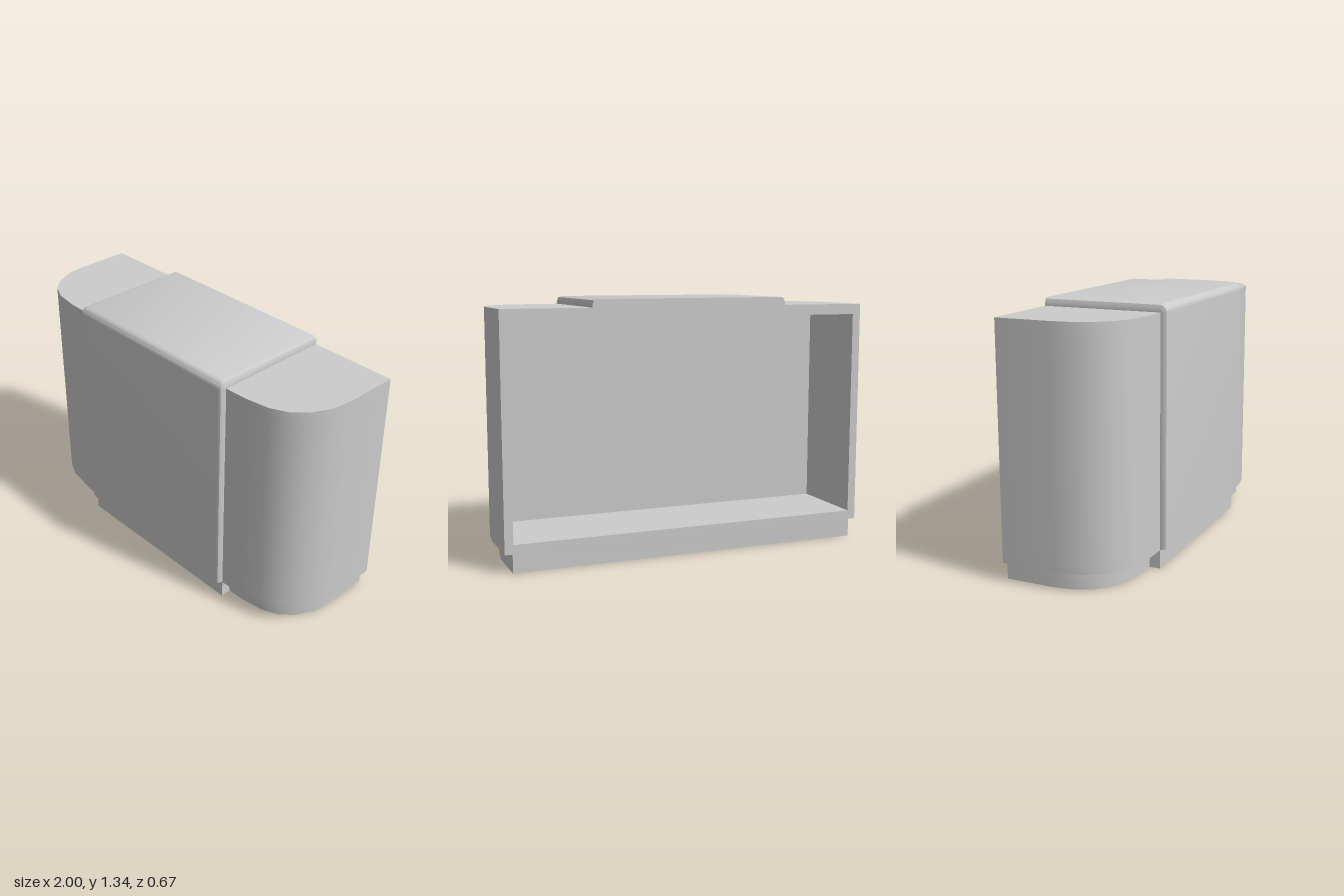
import * as THREE from 'three';
import { toCreasedNormals, mergeGeometries } from 'three/addons/utils/BufferGeometryUtils.js';

const BACK = -0.333;
const material = new THREE.MeshStandardMaterial({ color: 0xcccccc });

// Right half of the rounded front corner, as [x, z] from side to front
const CORNER = [[1, -0.05], [0.987, 0.064], [0.94, 0.162], [0.874, 0.232],
  [0.783, 0.275], [0.655, 0.294], [0.533, 0.298]];

// Mirror a half outline across x and close it as a shape (shape y is -z)
function mirroredShape(half) {
  const left = half.map(([x, z]) => [-x, z]).reverse();
  return new THREE.Shape([...half, ...left].map(([x, z]) => new THREE.Vector2(x, -z)));
}

// Extrude a floor outline upward between two heights
function slab(half, y0, y1) {
  const g = new THREE.ExtrudeGeometry(mirroredShape(half), { depth: y1 - y0, bevelEnabled: false });
  return g.rotateX(-Math.PI / 2).translate(0, y0, 0);
}

function addMesh(group, name, geometry) {
  const mesh = new THREE.Mesh(toCreasedNormals(geometry, 0.6), material);
  mesh.name = name;
  group.add(mesh);
}

// Raised panel running up the front and over the top, with rounded edges
function wrapPanel() {
  // Each row: base z, base y, then outward z and y thickness
  const rows = [[0.295, 0.1, 0, 0], [0.295, 0.1, 0.038, 0.005]];
  for (let i = 0; i <= 6; i++) {
    const a = (i / 6) * Math.PI / 2;
    rows.push([0.295, 1.3, 0.038 * Math.cos(a), 0.042 * Math.sin(a)]);
  }
  rows.push([BACK, 1.3, 0, 0.042], [BACK, 1.3, 0, 0]);
  // Cross-section: x and share of the thickness
  const half = [[0.533, 0], [0.533, 0.45], [0.526, 0.85], [0.51, 1]];
  const section = [...half.map(([x, h]) => [-x, h]), ...half.slice().reverse()];

  const positions = [], index = [], n = section.length;
  rows.forEach(([z, y, dz, dy], i) => section.forEach(([x, h], j) => {
    positions.push(x, y + dy * h, z + dz * h);
    if (i < rows.length - 1 && j < n - 1) {
      const a = i * n + j;
      index.push(a, a + 1, a + n, a + 1, a + n + 1, a + n);
    }
  }));
  const g = new THREE.BufferGeometry();
  g.setAttribute('position', new THREE.Float32BufferAttribute(positions, 3));
  g.setIndex(index);
  return g;
}

export function createModel() {
  const group = new THREE.Group();
  group.name = 'counter';

  // Shell open at the back: floor, C-shaped wall and top
  const full = [[1, BACK], ...CORNER];
  const wall = [[0.955, 0.125], [0.955, BACK], ...full];
  addMesh(group, 'body', mergeGeometries([
    slab(full, 0.097, 0.145),
    slab(wall, 0.145, 1.245),
    slab(full, 1.245, 1.3),
  ]));

  // Recessed plinth, stepping forward below the panel
  const inset = CORNER.map(([x, z], i) =>
    [i === CORNER.length - 1 ? 0.533 : x * 0.96, BACK + (z - BACK) * 0.91]);
  addMesh(group, 'plinth', slab([[0.96, BACK], ...inset, [0.533, 0.298]], 0, 0.097));

  addMesh(group, 'frontPanel', wrapPanel());
  return group;
}
